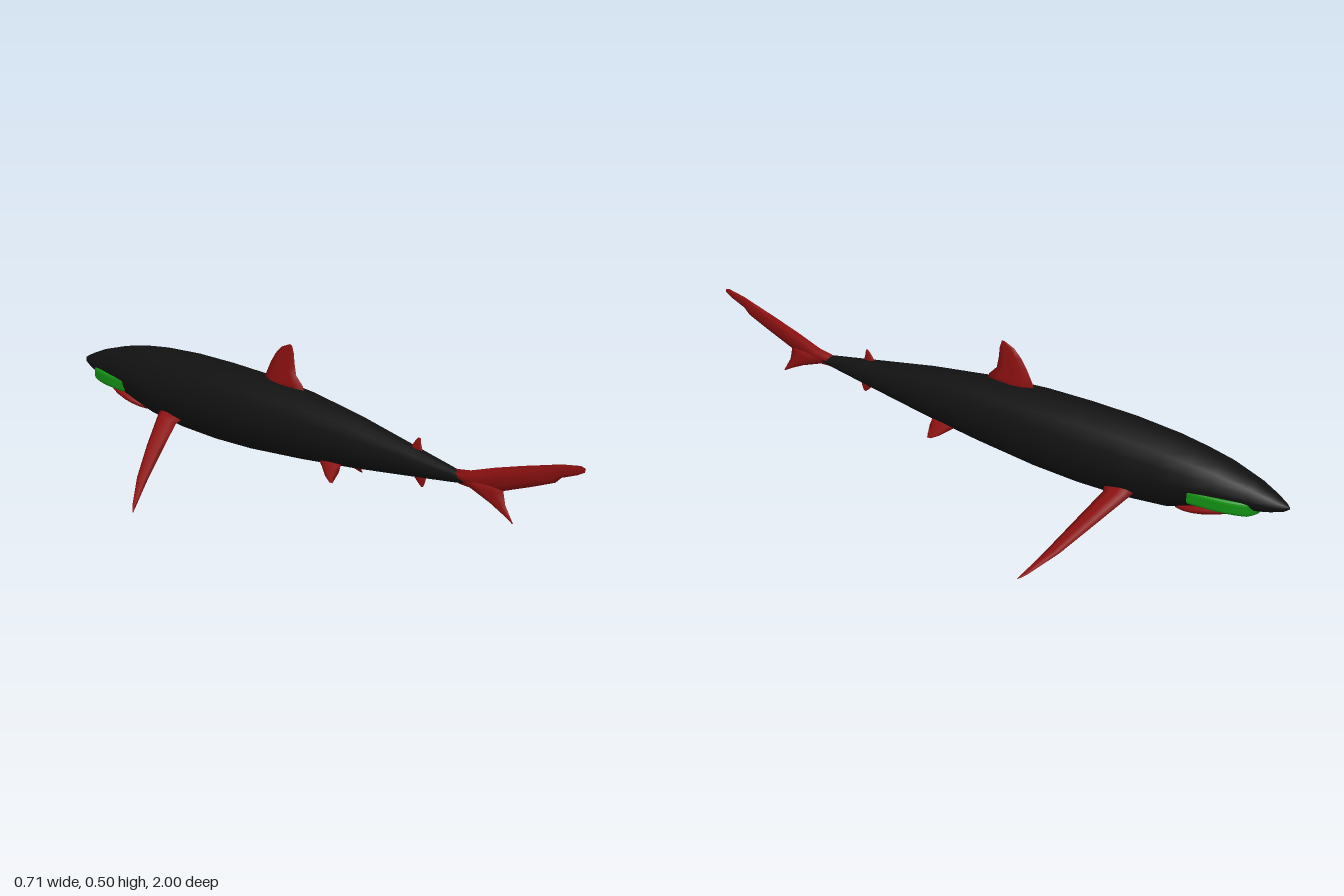
import * as THREE from 'three';

const paint = (name, color) => {
  const m = new THREE.MeshStandardMaterial({ color, side: THREE.DoubleSide });
  m.name = name;
  return m;
};

// Skin a list of closed rings (arrays of Vector3 of equal length) and cap both ends.
function loft(rings) {
  const n = rings[0].length, pos = [], index = [];
  rings.forEach(r => r.forEach(p => pos.push(p.x, p.y, p.z)));
  for (let i = 0; i < rings.length - 1; i++) {
    for (let j = 0; j < n; j++) {
      const a = i * n + j, b = i * n + (j + 1) % n;
      index.push(a, b, a + n, b, b + n, a + n);
    }
  }
  const last = (rings.length - 1) * n;
  for (let j = 1; j < n - 1; j++) {
    index.push(0, j + 1, j, last, last + j, last + j + 1);
  }
  const g = new THREE.BufferGeometry();
  g.setAttribute('position', new THREE.Float32BufferAttribute(pos, 3));
  g.setIndex(index);
  g.computeVertexNormals();
  return g;
}

// Fin from rows of [leading point, trailing point, half thickness], lens shaped in section.
function finGeometry(rows, normal) {
  const n = new THREE.Vector3(...normal).normalize();
  return loft(rows.map(([lead, trail, t]) => {
    const a = new THREE.Vector3(...lead), b = new THREE.Vector3(...trail);
    const at = (k, s) => a.clone().lerp(b, k).addScaledVector(n, s * t);
    return [a, at(0.2, 0.8), at(0.45, 1), at(0.75, 0.5), b,
      at(0.75, -0.5), at(0.45, -1), at(0.2, -0.8)];
  }));
}

// Upright fin on the centre line: rows of [lead z, lead y, trail z, trail y, half thickness].
const uprightFin = rows => finGeometry(
  rows.map(([z1, y1, z2, y2, t]) => [[0, y1, z1], [0, y2, z2], t]), [1, 0, 0]);

export function createModel() {
  const group = new THREE.Group();
  const black = paint('black skin', 0x111111);
  const red = paint('dark red', 0x8a1010);
  const green = paint('green', 0x138f13);
  const add = (name, geometry, material) => {
    const m = new THREE.Mesh(geometry, material);
    m.name = name;
    group.add(m);
    return m;
  };

  // Body sections: z, half width, top y, bottom y
  const sections = [
    [-1, 0.002, 0.268, 0.262], [-0.985, 0.015, 0.277, 0.252], [-0.95, 0.032, 0.294, 0.241],
    [-0.9, 0.05, 0.315, 0.23], [-0.8, 0.073, 0.346, 0.211], [-0.72, 0.085, 0.363, 0.188],
    [-0.64, 0.092, 0.375, 0.164], [-0.5, 0.097, 0.386, 0.15], [-0.35, 0.097, 0.389, 0.147],
    [-0.2, 0.094, 0.387, 0.153], [0, 0.08, 0.374, 0.171], [0.2, 0.06, 0.348, 0.194],
    [0.4, 0.037, 0.313, 0.222], [0.56, 0.018, 0.285, 0.245], [0.62, 0.008, 0.275, 0.255],
  ];
  add('body', loft(sections.map(([z, w, top, bottom]) =>
    Array.from({ length: 16 }, (_, i) => {
      const a = i / 16 * Math.PI * 2;
      return new THREE.Vector3(w * Math.cos(a),
        (top + bottom) / 2 + (top - bottom) / 2 * Math.sin(a), z);
    }))), black);

  // Mouth: rounded slab with its sides just outside the head
  const outline = new THREE.Shape();
  outline.moveTo(-0.072, -0.74);
  outline.lineTo(0.072, -0.74);
  outline.lineTo(0.067, -0.8);
  outline.quadraticCurveTo(0.06, -0.86, 0.042, -0.895);
  outline.quadraticCurveTo(0, -0.925, -0.042, -0.895);
  outline.quadraticCurveTo(-0.06, -0.86, -0.067, -0.8);
  outline.closePath();
  const mouth = new THREE.ExtrudeGeometry(outline, {
    depth: 0.022, bevelEnabled: true, bevelThickness: 0.01, bevelSize: 0.009, bevelSegments: 3,
  });
  mouth.rotateX(Math.PI / 2);
  add('mouth', mouth, green).position.y = 0.258;

  // Lower jaw under the mouth
  const jaw = add('lowerJaw', new THREE.SphereGeometry(1, 20, 12), red);
  jaw.scale.set(0.056, 0.02, 0.11);
  jaw.position.set(0, 0.2, -0.755);
  jaw.rotation.x = 0.23;

  // Dorsal fin
  add('dorsalFin', uprightFin([
    [-0.18, 0.37, -0.01, 0.36, 0.012], [-0.172, 0.392, -0.018, 0.388, 0.011],
    [-0.15, 0.435, -0.045, 0.415, 0.009], [-0.13, 0.465, -0.052, 0.45, 0.007],
    [-0.105, 0.49, -0.055, 0.48, 0.004], [-0.072, 0.504, -0.062, 0.502, 0.001],
  ]), red);

  // Small fins above and below the tail stalk
  add('secondDorsalFin', uprightFin([
    [0.39, 0.29, 0.455, 0.28, 0.006], [0.405, 0.312, 0.445, 0.308, 0.005],
    [0.42, 0.332, 0.44, 0.325, 0.003], [0.43, 0.342, 0.438, 0.34, 0.001],
  ]), red);
  add('analFin', uprightFin([
    [0.4, 0.245, 0.46, 0.25, 0.006], [0.415, 0.225, 0.46, 0.228, 0.005],
    [0.43, 0.21, 0.455, 0.212, 0.003], [0.442, 0.2, 0.45, 0.201, 0.001],
  ]), red);

  // Tail fin lobes
  add('upperTailLobe', uprightFin([
    [0.55, 0.282, 0.58, 0.245, 0.014], [0.62, 0.294, 0.66, 0.242, 0.014],
    [0.7, 0.322, 0.74, 0.267, 0.011], [0.8, 0.353, 0.83, 0.302, 0.008],
    [0.88, 0.376, 0.905, 0.333, 0.005], [0.92, 0.388, 0.925, 0.352, 0.004],
    [0.985, 0.4, 0.975, 0.372, 0.002], [1, 0.396, 0.998, 0.385, 0.001],
  ]), red);
  add('lowerTailLobe', uprightFin([
    [0.57, 0.26, 0.73, 0.28, 0.013], [0.62, 0.243, 0.735, 0.258, 0.012],
    [0.69, 0.218, 0.742, 0.226, 0.008], [0.735, 0.197, 0.757, 0.202, 0.004],
    [0.766, 0.18, 0.77, 0.181, 0.001],
  ]), red);

  // Paired fins
  for (const s of [1, -1]) {
    const side = s > 0 ? 'left' : 'right';
    add(side + 'PectoralFin', finGeometry([
      [[s * 0.06, 0.215, -0.57], [s * 0.06, 0.205, -0.46], 0.012],
      [[s * 0.09, 0.195, -0.555], [s * 0.09, 0.188, -0.472], 0.011],
      [[s * 0.18, 0.133, -0.505], [s * 0.18, 0.126, -0.44], 0.008],
      [[s * 0.27, 0.066, -0.45], [s * 0.27, 0.062, -0.407], 0.005],
      [[s * 0.34, 0.012, -0.392], [s * 0.34, 0.011, -0.377], 0.002],
      [[s * 0.356, 0, -0.374], [s * 0.356, 0, -0.37], 0.001],
    ], [s * 0.6, 0.8, 0]), red);
    add(side + 'PelvicFin', finGeometry([
      [[s * 0.03, 0.205, 0.07], [s * 0.03, 0.205, 0.165], 0.007],
      [[s * 0.042, 0.183, 0.1], [s * 0.042, 0.183, 0.168], 0.006],
      [[s * 0.055, 0.165, 0.125], [s * 0.055, 0.165, 0.165], 0.003],
      [[s * 0.063, 0.153, 0.15], [s * 0.063, 0.153, 0.162], 0.001],
    ], [s * 0.85, 0.53, 0]), red);
  }
  return group;
}
